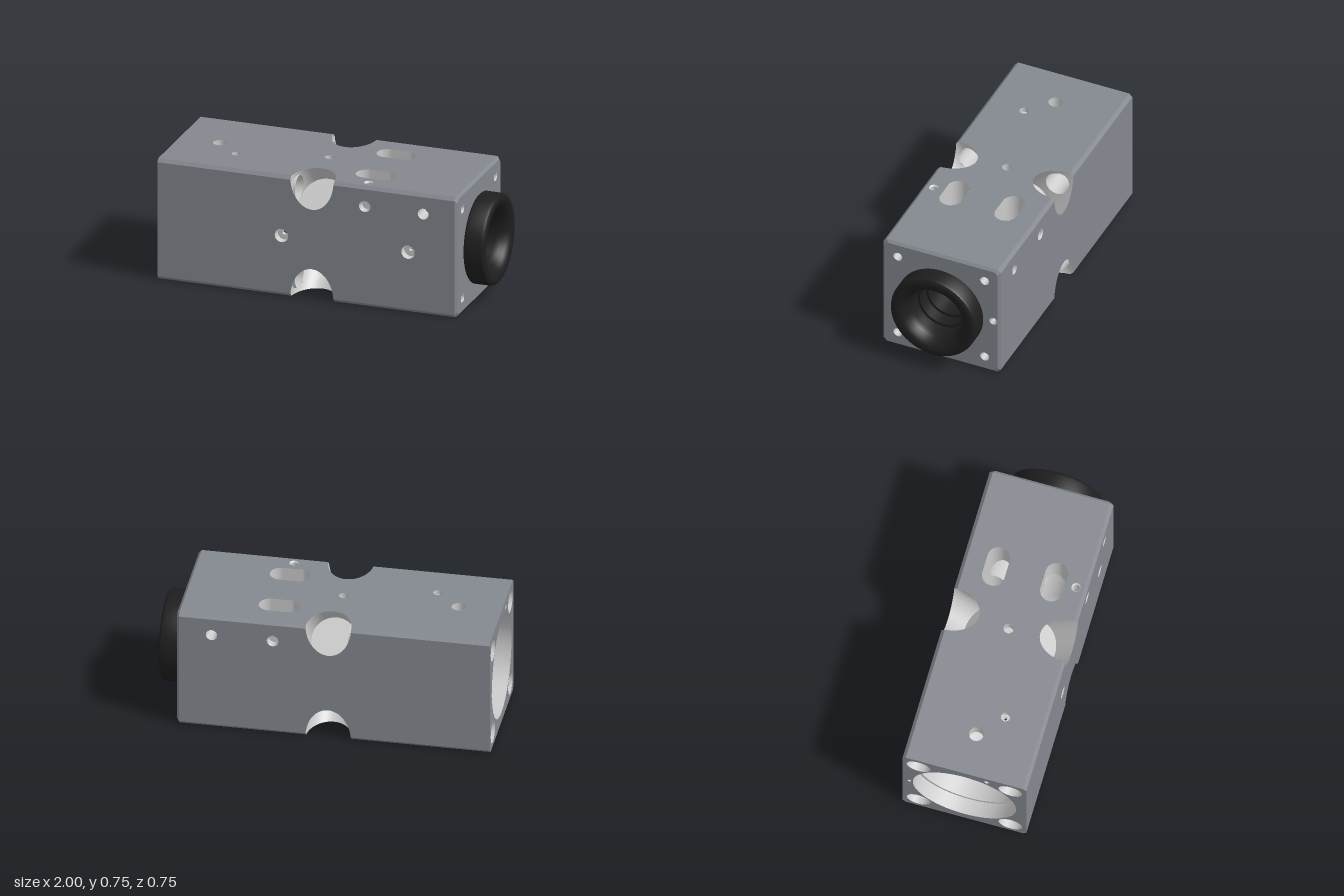
import * as THREE from 'three';
import { toCreasedNormals } from 'three/addons/utils/BufferGeometryUtils.js';

const H = 0.3775, C = 0.02;              // half height of the block, long-edge chamfer
const X0 = -1, X1 = 0.87, E = 0.015;     // block ends, bevel at the +x end
const NX = -0.035, NR = 0.135, ND = 0.255; // corner notch: x, radius, floor distance from axis
const BOLT = 0.28, BOLT_R = 0.072;
const BORE = 0.24, WIDE = 0.305, STEP = -0.3;
const SLOT = { x: 0.292, z: 0.1775, r: 0.0675, l: 0.055 };
const Q = Math.SQRT2;

const skin = new THREE.MeshStandardMaterial({ color: 0x84888f, side: THREE.DoubleSide });
const bare = new THREE.MeshStandardMaterial({ color: 0xcccccc, side: THREE.DoubleSide });
const black = new THREE.MeshStandardMaterial({ color: 0x1e1e1e, side: THREE.DoubleSide });

function add(parent, name, geo, mat) {
  const m = new THREE.Mesh(geo, mat);
  m.name = name;
  parent.add(m);
  return m;
}

// half chord of a circle of radius r at offset d (0 when outside)
const chord = (r, d) => Math.sqrt(Math.max(0, r * r - d * d));

// Swept wall: columns around t in 0..1, each from lo to hi with an optional gap [a, b]
function wall(n, place, lo, hi, gap) {
  const pos = [], idx = [];
  for (let i = 0; i <= n; i++) {
    const t = (i / n) * Math.PI * 2, a = lo(t), b = hi(t);
    const g = (gap && gap(t)) || [(a + b) / 2, (a + b) / 2];
    for (const s of [a, g[0], g[1], b]) pos.push(...place(t, s));
    if (i < n) for (const r of [0, 2]) {
      const k = i * 4 + r;
      idx.push(k, k + 1, k + 4, k + 1, k + 5, k + 4);
    }
  }
  const geo = new THREE.BufferGeometry();
  geo.setAttribute('position', new THREE.Float32BufferAttribute(pos, 3));
  geo.setIndex(idx);
  geo.computeVertexNormals();
  return geo;
}

const circle = (x, y, r) => new THREE.Path().absarc(x, y, r, 0, Math.PI * 2, true);

const slotPath = (x, y) => new THREE.Path()
  .absarc(x + SLOT.l, y, SLOT.r, Math.PI / 2, -Math.PI / 2, true)
  .absarc(x - SLOT.l, y, SLOT.r, -Math.PI / 2, -Math.PI * 1.5, true)
  .closePath();

// Drilled hole going in along -z from the plane z = top, with optional countersink and floor
function drill(parent, { x, y, r, depth = 0.04, sink = 0, floor, socket }, top) {
  const g = new THREE.Group();
  g.name = 'drilledHole';
  g.position.set(x, y, top);
  const tube = (ra, rb, from, len, mat) =>
    add(g, 'holeWall', new THREE.CylinderGeometry(ra, rb, len, 32, 1, true).rotateX(Math.PI / 2)
      .translate(0, 0, -from - len / 2), mat);
  if (sink) tube(r + sink, r, 0, sink, bare);
  tube(r, r, sink, depth - sink, bare);
  if (floor) add(g, 'holeFloor', new THREE.RingGeometry(socket || 0, r, 32).translate(0, 0, -depth), floor);
  if (socket) {
    tube(socket, socket, depth, 0.03, bare);
    add(g, 'socketFloor', new THREE.CircleGeometry(socket, 16).translate(0, 0, -depth - 0.03), black);
  }
  parent.add(g);
}

function octagon(h, c) {
  return [[h, -h + c], [h, h - c], [h - c, h], [-h + c, h],
    [-h, h - c], [-h, -h + c], [-h + c, -h], [h - c, -h]].map(p => new THREE.Vector2(...p));
}

// Long side plate, scalloped where the corner notches cut through
function sidePlate(holes, slots) {
  const g = new THREE.Group(), v = H - C, a0 = Math.asin(C / (NR * Q)), pts = [];
  for (const s of [-1, 1]) {
    pts.push([s < 0 ? X0 : X1 - E, s * v]);
    for (let i = 0; i <= 32; i++) {
      const a = a0 + (Math.PI - 2 * a0) * i / 32;
      pts.push([NX + s * NR * Math.cos(a), s * (H - NR * Q * Math.sin(a))]);
    }
    pts.push([s < 0 ? X1 - E : X0, s * v]);
  }
  // the lower edge runs towards +x, the upper edge back towards -x
  const shape = new THREE.Shape(pts.map(p => new THREE.Vector2(...p)));
  holes.forEach(h => shape.holes.push(circle(h.x, h.y, h.r + (h.sink || 0))));
  if (slots) for (const s of [-1, 1]) shape.holes.push(slotPath(SLOT.x, s * SLOT.z));
  add(g, 'sideFace', new THREE.ShapeGeometry(shape, 24).translate(0, 0, H), skin);
  holes.forEach(h => drill(g, h, H));
  // slot walls run in until they meet the bore
  if (slots) for (const s of [-1, 1]) {
    const at = t => SLOT.z + SLOT.r * Math.sin(t);
    add(g, 'slotWall', wall(64, (t, d) => [
      SLOT.x + Math.sign(Math.round(Math.cos(t) * 1e6)) * SLOT.l + SLOT.r * Math.cos(t), s * at(t), d],
    t => chord(BORE, at(t)), () => H), bare);
  }
  return g;
}

function endPlate(h, holes, bore, top) {
  const g = new THREE.Group(), shape = new THREE.Shape(octagon(h, C));
  shape.holes.push(circle(0, 0, bore));
  holes.forEach(k => shape.holes.push(circle(k.x, k.y, k.r + (k.sink || 0))));
  add(g, 'endFace', new THREE.ShapeGeometry(shape, 32).translate(0, 0, top), skin);
  holes.forEach(k => drill(g, k, top));
  return g;
}

// Corner notch with its flat floor and the long chamfer either side of it
function cornerEdge() {
  const g = new THREE.Group();
  g.name = 'cornerNotch';
  add(g, 'notchWall', wall(128,
    (t, s) => [NX + NR * Math.cos(t), (s + NR * Math.sin(t)) / Q, (s - NR * Math.sin(t)) / Q],
    () => ND,
    t => Math.min(H * Q - Math.abs(NR * Math.sin(t)), (2 * H - C) / Q),
    t => {
      const k = Math.cos(t) < 0 ? chord(BOLT_R, NR * Math.sin(t)) : 0;
      return [BOLT * Q - k, BOLT * Q + k];
    }), bare);
  const floor = add(g, 'notchFloor', new THREE.CircleGeometry(NR, 48), bare);
  floor.rotation.x = -Math.PI / 4;
  floor.position.set(NX, ND / Q, ND / Q);
  for (const [a, b] of [[X0, NX - NR], [NX + NR, X1 - E]]) {
    const m = add(g, 'edgeChamfer', new THREE.PlaneGeometry(b - a, C * Q), skin);
    m.rotation.x = -Math.PI / 4;
    m.position.set((a + b) / 2, H - C / 2, H - C / 2);
  }
  // bolt passage from the rear end into the notch
  const len = NX - NR + 0.02 - X0;
  add(g, 'boltPassage', new THREE.CylinderGeometry(BOLT_R, BOLT_R, len, 32, 1, true)
    .rotateZ(Math.PI / 2).translate(X0 + len / 2, BOLT, BOLT), bare);
  return g;
}

export function createModel() {
  const model = new THREE.Group(), block = new THREE.Group();
  model.name = 'opticalBlock';
  block.name = 'block';
  block.position.y = H;
  model.add(block);

  // Side plates, turned about the long axis
  const cross = s => [{ x: 0.295, y: s * 0.252, r: 0.03, sink: 0.006 },
    { x: 0.66, y: s * 0.252, r: 0.034, depth: 0.12, floor: black }];
  const upright = s => [{ x: -0.745, y: 0, r: 0.043, depth: 0.08 },
    { x: -0.06, y: 0, r: 0.03, depth: 0.06, floor: bare },
    { x: 0.295, y: s * 0.31, r: 0.02, sink: 0.008, depth: 0.09 }];
  const plates = [
    ['frontSide', 0, [...cross(1),
      { x: -0.225, y: 0, r: 0.042, depth: 0.05, floor: bare, socket: 0.013 },
      { x: 0.565, y: 0, r: 0.042, depth: 0.05, floor: bare, socket: 0.01 }], false],
    ['topSide', -Math.PI / 2, [...upright(-1),
      { x: -0.595, y: -0.135, r: 0.028, depth: 0.03, floor: bare, socket: 0.01 }], true],
    ['backSide', Math.PI, cross(-1), false],
    ['bottomSide', Math.PI / 2, upright(1), true],
  ];
  for (const [name, turn, holes, slots] of plates) {
    const p = sidePlate(holes, slots);
    p.name = name;
    p.rotation.x = turn;
    block.add(p);
  }
  for (let i = 0; i < 4; i++) {
    const e = cornerEdge();
    e.rotation.x = i * Math.PI / 2;
    block.add(e);
  }

  // End plates with corner holes
  const corners = [[1, 1], [1, -1], [-1, 1], [-1, -1]];
  const at = (r, extra) => corners.map(([a, b]) => ({ x: a * BOLT, y: b * BOLT, r, ...extra }));
  const lensEnd = endPlate(H - E, [...at(0.025, { sink: 0.004, depth: 0.12, floor: bare }),
    { x: 0.335, y: 0, r: 0.013, sink: 0.012, depth: X1 - X0 }], BORE, X1);
  lensEnd.name = 'lensEnd';
  lensEnd.rotation.y = Math.PI / 2;
  const rearEnd = endPlate(H, [...at(BOLT_R, { depth: 0.02 }),
    { x: -0.335, y: 0, r: 0.013 },
    { x: 0.136, y: 0.325, r: 0.016, depth: 0.1, floor: bare }], WIDE + 0.01, -X0);
  rearEnd.name = 'rearEnd';
  rearEnd.rotation.y = -Math.PI / 2;
  block.add(lensEnd, rearEnd);

  // Bevel around the lens end
  const bevel = [], a = octagon(H, C), b = octagon(H - E, C);
  for (let i = 0; i < 8; i++) {
    const j = (i + 1) % 8, P = (p, x) => [x, p.y, -p.x];
    const [p, q, r, s] = [P(a[i], X1 - E), P(a[j], X1 - E), P(b[j], X1), P(b[i], X1)];
    bevel.push(...p, ...q, ...r, ...p, ...r, ...s);
  }
  const bevelGeo = new THREE.BufferGeometry();
  bevelGeo.setAttribute('position', new THREE.Float32BufferAttribute(bevel, 3));
  bevelGeo.computeVertexNormals();
  add(block, 'endBevel', bevelGeo, skin);

  // Stepped bore, opened where holes and slots break into it
  const round = R => (t, x) => [x, R * Math.cos(t), R * Math.sin(t)];
  add(block, 'rearBore', wall(240, round(WIDE), () => -0.9, () => STEP, t => {
    const k = chord(0.043, WIDE * Math.sin(t));
    return [-0.745 - k, -0.745 + k];
  }), bare);
  add(block, 'innerBore', wall(240, round(BORE), () => STEP, () => X1, t => {
    const y = BORE * Math.cos(t), z = Math.abs(BORE * Math.sin(t));
    let k = chord(SLOT.r, z - SLOT.z);
    if (k > 0) k += SLOT.l;
    else if (z < 0.1 && y > 0) k = chord(0.03, y - 0.252);
    return [SLOT.x - k, SLOT.x + k];
  }), bare);
  const turned = (name, pts, mat) => add(block, name, toCreasedNormals(
    new THREE.LatheGeometry(pts.map(p => new THREE.Vector2(...p)), 72).rotateZ(-Math.PI / 2), 0.6), mat);
  turned('boreMouth', [[0.315, X0], [0.315, -0.92], [0.325, -0.92], [0.325, -0.9], [WIDE, -0.9]], bare);
  turned('boreShoulder', [[WIDE, STEP], [BORE, STEP]], bare);

  // Black lens ring seated in the bore
  turned('lensRing', [[0.133, 0.6], [0.235, 0.6], [0.235, 0.872], [0.268, 0.872], [0.275, 0.88],
    [0.275, 0.975], [0.27, 0.99], [0.258, 0.998], [0.24, 1], [0.215, 0.994], [0.19, 0.975],
    [0.172, 0.945], [0.167, 0.91], [0.167, 0.84], [0.15, 0.84], [0.15, 0.76], [0.133, 0.76],
    [0.133, 0.6]], black);

  return model;
}
